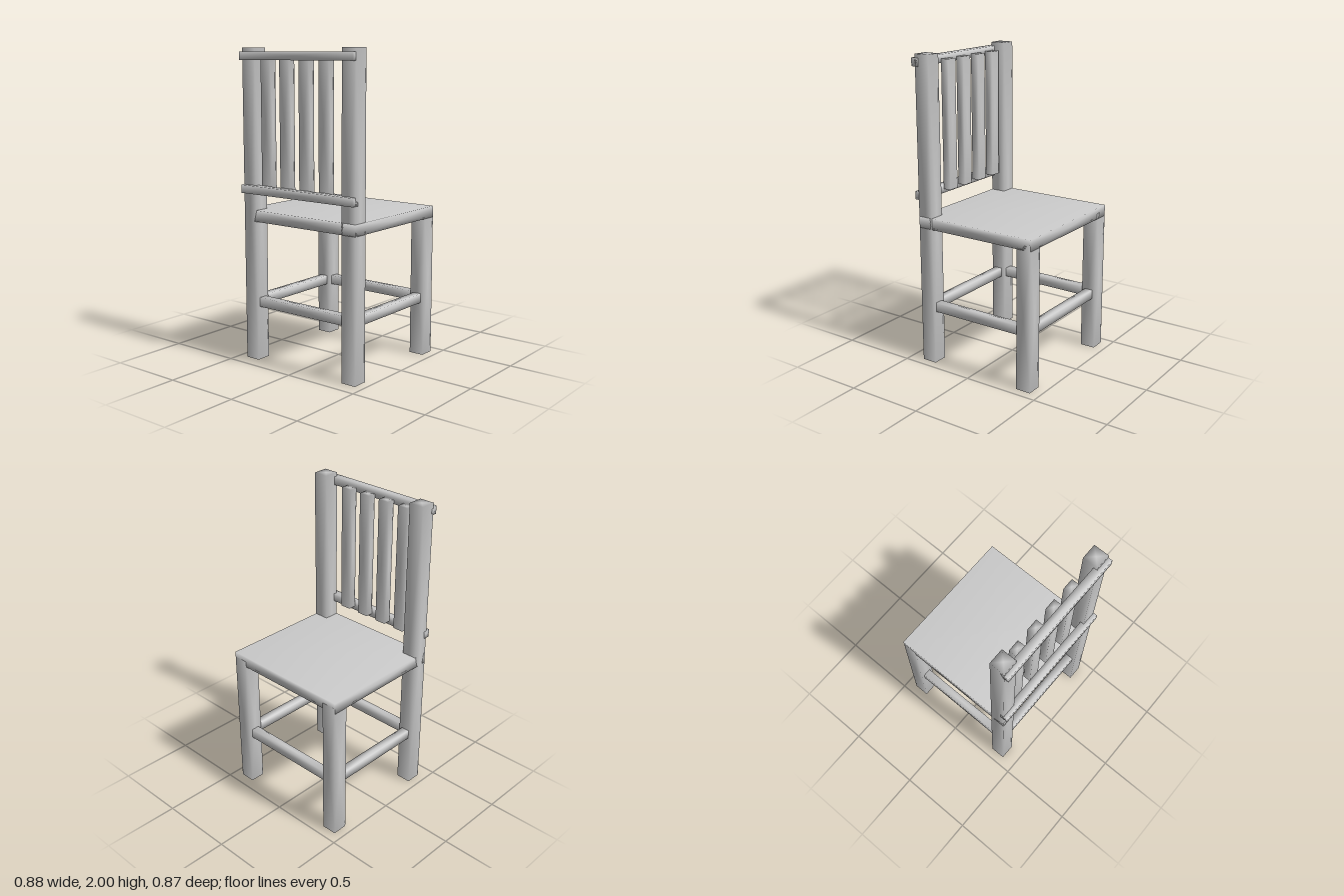
import * as THREE from 'three';

const material = new THREE.MeshStandardMaterial({ color: 0xcccccc });

// Softly shaded bar: 8 shared corners plus a centre point on every face
function barGeometry(w, h, d) {
  const points = [];
  for (const x of [-1, 1]) for (const y of [-1, 1]) for (const z of [-1, 1]) {
    points.push(x * w / 2, y * h / 2, z * d / 2);
  }
  // corner index = 4 * (x > 0) + 2 * (y > 0) + (z > 0), loops run counter-clockwise
  const loops = [
    [4, 6, 7, 5], [0, 1, 3, 2], // +x, -x
    [2, 3, 7, 6], [0, 4, 5, 1], // +y, -y
    [1, 5, 7, 3], [0, 2, 6, 4], // +z, -z
  ];
  const index = [];
  loops.forEach((loop, f) => {
    const centre = [0, 0, 0];
    const axis = f >> 1;
    centre[axis] = (f % 2 ? -1 : 1) * [w, h, d][axis] / 2;
    points.push(...centre);
    loop.forEach((c, i) => index.push(c, loop[(i + 1) % 4], 8 + f));
  });
  const geometry = new THREE.BufferGeometry();
  geometry.setAttribute('position', new THREE.Float32BufferAttribute(points, 3));
  geometry.setIndex(index);
  geometry.computeVertexNormals();
  return geometry;
}

export function createModel() {
  const chair = new THREE.Group();
  chair.name = 'chair';

  // Adds a bar given its extent along each axis
  const bar = (name, [x0, x1], [y0, y1], [z0, z1]) => {
    const mesh = new THREE.Mesh(barGeometry(x1 - x0, y1 - y0, z1 - z0), material);
    mesh.position.set((x0 + x1) / 2, (y0 + y1) / 2, (z0 + z1) / 2);
    mesh.name = name;
    chair.add(mesh);
  };
  const around = (c, size) => [c - size / 2, c + size / 2];

  const legX = 0.392, legSize = 0.1;
  const postZ = 0.355, frontZ = -0.383;
  const inner = legX - legSize / 2;

  // Seat board
  bar('seat', [-0.442, 0.442], [0.912, 0.985], [-0.433, 0.405]);

  // Legs, tall back posts and side stretchers
  for (const [side, s] of [['left', 1], ['right', -1]]) {
    bar(`${side}BackPost`, around(s * legX, legSize), [0, 2], around(postZ, legSize));
    bar(`${side}FrontLeg`, around(s * legX, legSize), [0, 0.95], around(frontZ, legSize));
    bar(`${side}Stretcher`, around(s * legX, 0.055), [0.352, 0.413],
      [frontZ + legSize / 2, postZ - legSize / 2]);
  }

  // Cross stretchers
  bar('backStretcher', [-inner, inner], [0.352, 0.413], around(postZ, 0.055));
  bar('frontStretcher', [-inner, inner], [0.352, 0.413], around(frontZ, 0.055));

  // Backrest rails
  bar('topRail', [-0.442, 0.442], around(1.95, 0.052), [0.38, 0.433]);
  bar('lowerRail', [-0.442, 0.442], around(1.118, 0.052), [0.38, 0.433]);

  // Backrest slats
  for (let i = 0; i < 4; i++) {
    bar(`slat${i + 1}`, around(-0.274 + i * 0.1535, 0.075), [1.118, 1.95], [0.327, 0.38]);
  }

  return chair;
}
